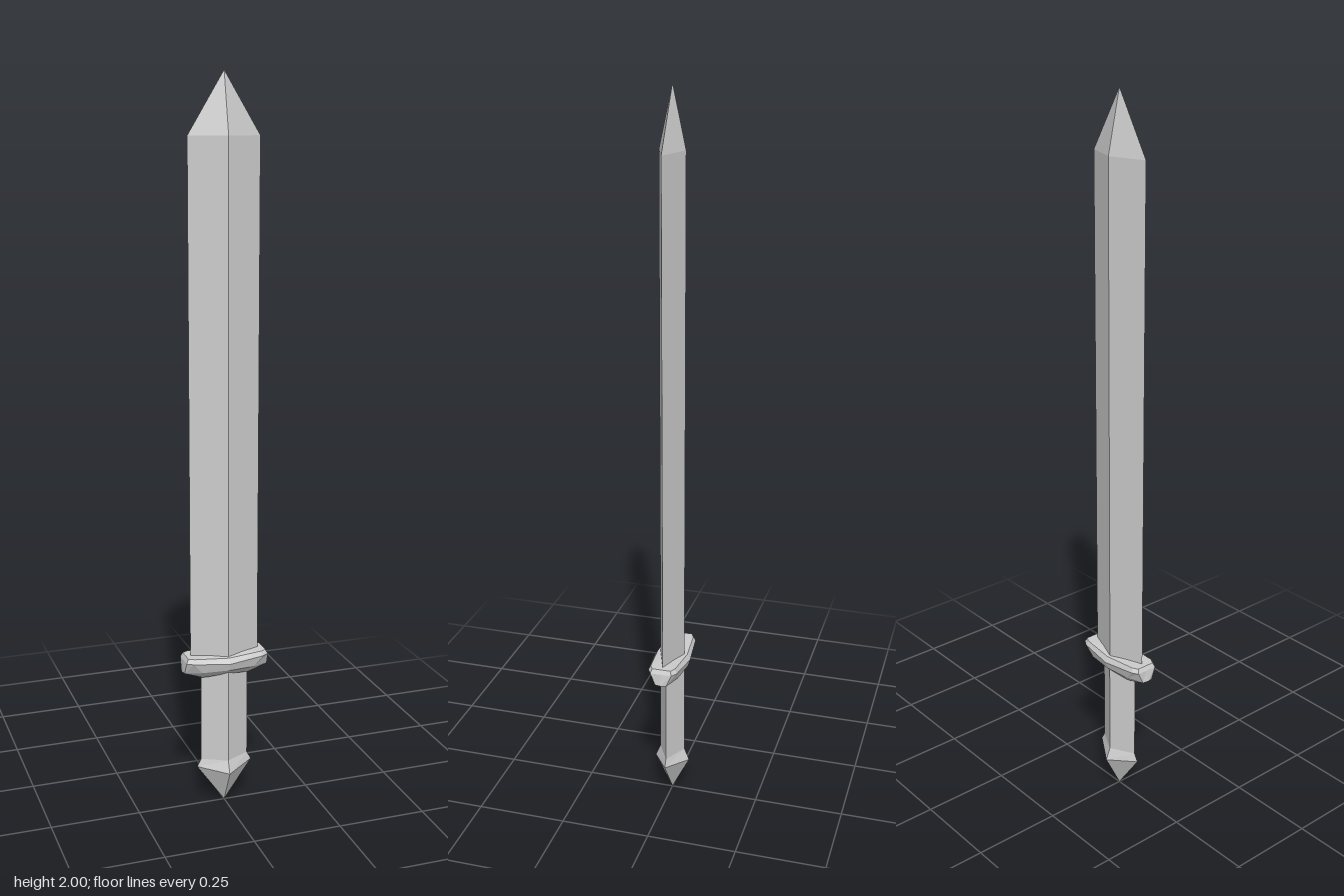
import * as THREE from 'three';

// Mirror quarter-outline points [x, y, z] (from the +x side to the +z side) into a full ring.
function ring(quarter) {
  const back = quarter.slice(0, -1).reverse();
  const half = [...quarter, ...back.map(([x, y, z]) => [-x, y, z])];
  const rear = half.slice(1, -1).reverse().map(([x, y, z]) => [x, y, -z]);
  return [...half, ...rear].map((p) => new THREE.Vector3(...p));
}

// Four-cornered ring; the front and back corners may sit at another height.
const diamond = (x, z, y, yFront = y) => ring([[x, y, 0], [0, yFront, z]]);

// Skin rings listed from bottom to top and close both ends.
function loft(name, rings, material) {
  const positions = [];
  const tri = (a, b, c) => {
    if (new THREE.Triangle(a, b, c).getArea() < 1e-9) return;
    for (const p of [a, b, c]) positions.push(p.x, p.y, p.z);
  };
  const n = rings[0].length;
  for (let r = 0; r < rings.length - 1; r++) {
    const lo = rings[r], hi = rings[r + 1];
    for (let i = 0; i < n; i++) {
      const j = (i + 1) % n;
      tri(lo[i], hi[i], lo[j]);
      tri(lo[j], hi[i], hi[j]);
    }
  }
  const bottom = rings[0], top = rings[rings.length - 1];
  const centre = (pts) => pts.reduce((s, p) => s.add(p), new THREE.Vector3()).divideScalar(n);
  const cb = centre(bottom), ct = centre(top);
  for (let i = 0; i < n; i++) {
    const j = (i + 1) % n;
    tri(cb, bottom[i], bottom[j]);
    tri(ct, top[j], top[i]);
  }
  const geometry = new THREE.BufferGeometry();
  geometry.setAttribute('position', new THREE.Float32BufferAttribute(positions, 3));
  geometry.computeVertexNormals();
  const mesh = new THREE.Mesh(geometry, material);
  mesh.name = name;
  return mesh;
}

export function createModel() {
  const material = new THREE.MeshStandardMaterial({ color: 0xcccccc, flatShading: true });
  const sword = new THREE.Group();
  sword.name = 'sword';

  // Diamond-section blade with a pointed tip
  sword.add(loft('blade', [
    diamond(0.098, 0.035, 0.42), diamond(0.098, 0.035, 1.84), diamond(0, 0, 2),
  ], material));

  // Faceted crossguard
  sword.add(loft('guard', [
    ring([[0.07, 0.385, 0], [0.068, 0.386, 0.014], [0.055, 0.388, 0.02], [0, 0.395, 0.03]]),
    ring([[0.123, 0.405, 0], [0.12, 0.405, 0.016], [0.075, 0.408, 0.036], [0, 0.41, 0.046]]),
    ring([[0.118, 0.438, 0], [0.118, 0.438, 0.03], [0.1, 0.438, 0.041], [0, 0.43, 0.052]]),
    ring([[0.112, 0.45, 0], [0.112, 0.45, 0.026], [0.096, 0.45, 0.035], [0, 0.445, 0.043]]),
  ], material));

  // Grip
  sword.add(loft('grip', [
    diamond(0.068, 0.036, 0.12), diamond(0.068, 0.036, 0.41),
  ], material));

  // Pointed pommel
  sword.add(loft('pommel', [
    diamond(0, 0, 0), diamond(0.08, 0.05, 0.113, 0.1), diamond(0.068, 0.036, 0.135),
  ], material));

  return sword;
}
